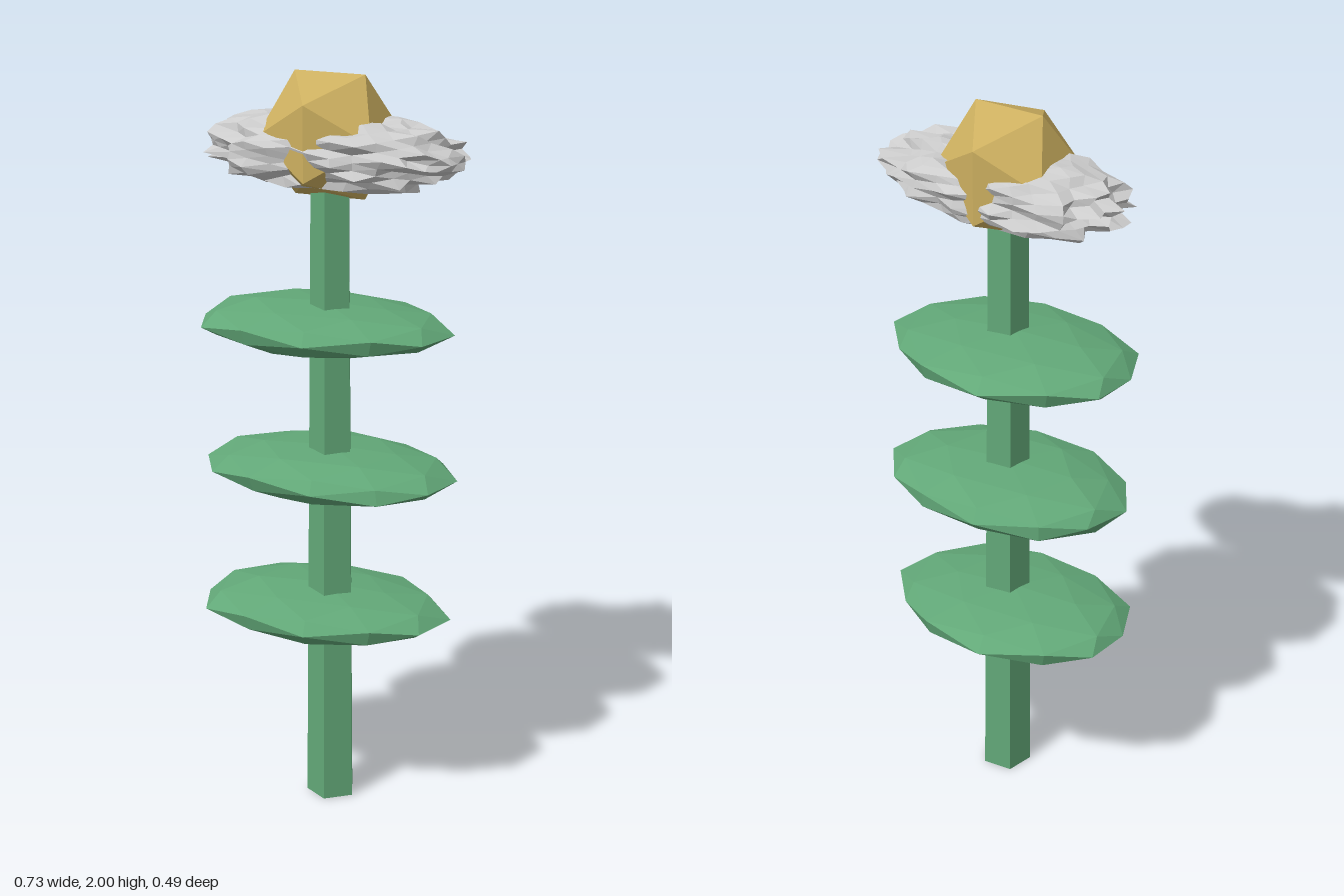
import * as THREE from 'three';

const green = new THREE.MeshStandardMaterial({ color: 0x62a878, flatShading: true });
const gold = new THREE.MeshStandardMaterial({ color: 0xcdb060, flatShading: true });
const grey = new THREE.MeshStandardMaterial({ color: 0xcccccc, flatShading: true });

// Repeatable noise in 0..1 that agrees for vertices sharing a position
function noise(p, seed) {
  const [x, y, z] = [p.x, p.y, p.z].map((v) => Math.round(v * 1000) / 1000);
  const s = Math.sin(x * 12.9898 + y * 78.233 + z * 37.719 + seed * 4.137) * 43758.5453;
  return s - Math.floor(s);
}

// Faceted ball: power squares it off, low..high is the range of radial roughness
function roughBall(detail, power, low, high, seed) {
  const geo = new THREE.IcosahedronGeometry(1, detail);
  const pos = geo.attributes.position;
  const p = new THREE.Vector3();
  for (let i = 0; i < pos.count; i++) {
    p.fromBufferAttribute(pos, i);
    const r = low + (high - low) * noise(p, seed);
    const norm = (Math.abs(p.x) ** power + Math.abs(p.y) ** power + Math.abs(p.z) ** power) ** (1 / power);
    p.multiplyScalar(r / norm);
    pos.setXYZ(i, p.x, p.y, p.z);
  }
  geo.computeVertexNormals();
  return geo;
}

export function createModel() {
  const group = new THREE.Group();
  const add = (name, geo, material, x, y, z) => {
    const mesh = new THREE.Mesh(geo, material);
    mesh.name = name;
    mesh.position.set(x, y, z);
    group.add(mesh);
    return mesh;
  };

  // Five-sided tapering stem
  const stem = add('stem', new THREE.CylinderGeometry(0.054, 0.069, 1.8, 5), green, 0, 0.9, 0.012);
  stem.rotation.y = 0.1;

  // Three flat leaf discs
  [[0.545, -0.03], [0.94, -0.01], [1.335, -0.03]].forEach(([y, x], i) => {
    const geo = roughBall(1, 2, 0.95, 1.04, i % 2);
    geo.rotateY(0.15).scale(0.35, 0.066, 0.25);
    add('leaf' + (i + 1), geo, green, x, y, 0);
  });

  // Shaggy, spiky bloom
  const petals = roughBall(5, 2.4, 0.83, 1.06, 3);
  petals.scale(0.35, 0.098, 0.163);
  add('petals', petals, grey, 0.005, 1.8, 0.008);

  // Faceted flower centre
  add('flowerCentre', new THREE.IcosahedronGeometry(0.188, 0), gold, -0.006, 1.84, 0.01);

  return group;
}
